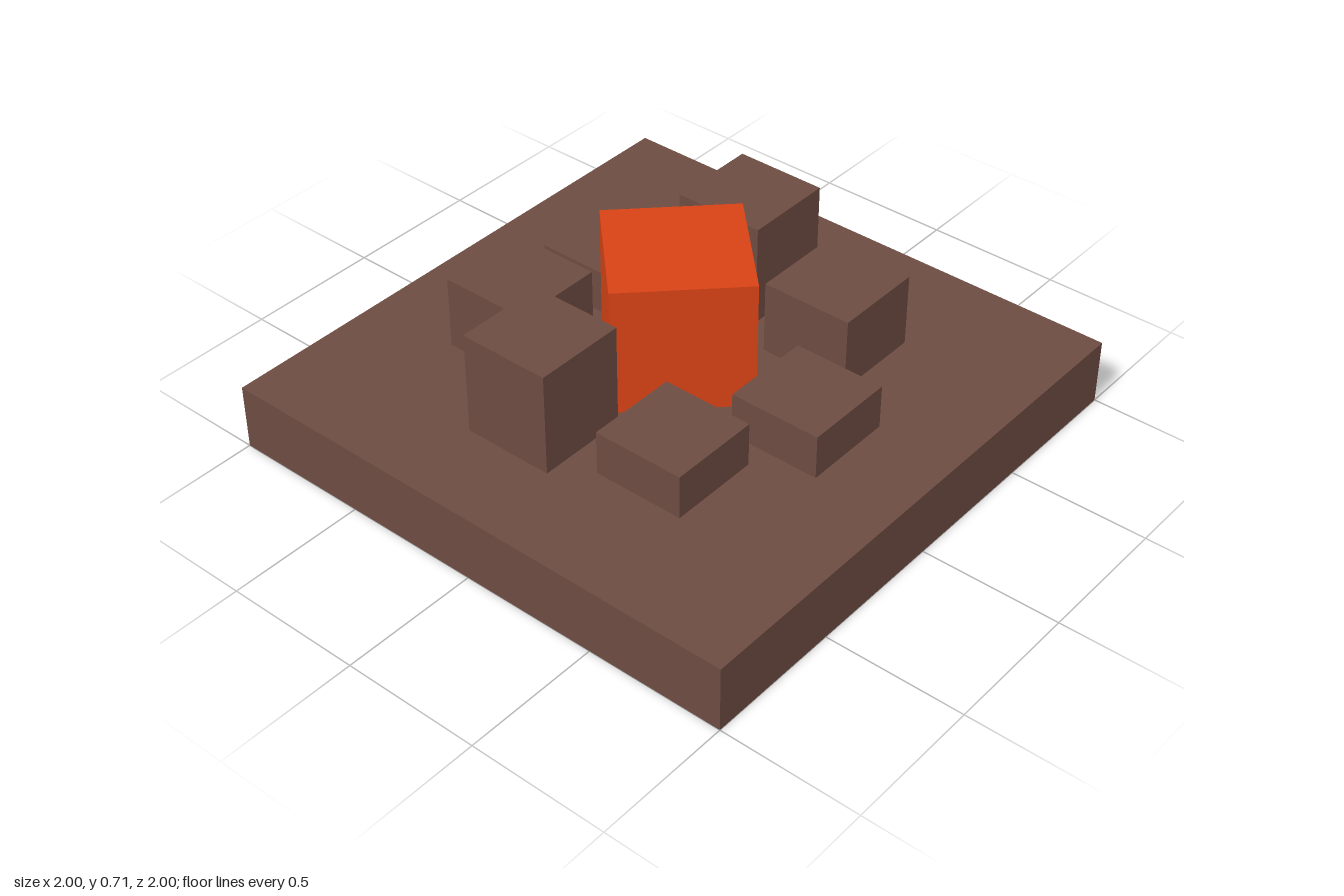
import * as THREE from 'three';

const BASE_TOP = 0.24;

export function createModel() {
  const model = new THREE.Group();
  const brown = new THREE.MeshStandardMaterial({ color: 0x6d4c41, flatShading: true });
  const orange = new THREE.MeshStandardMaterial({ color: 0xd84315, flatShading: true });

  // Adds a box standing on height y
  function addBlock(name, material, width, height, x, y, z) {
    const mesh = new THREE.Mesh(new THREE.BoxGeometry(width, height, width), material);
    mesh.name = name;
    mesh.position.set(x, y + height / 2, z);
    model.add(mesh);
    return mesh;
  }

  // Square slab
  addBlock('base', brown, 2, BASE_TOP, 0, 0, 0);

  // Central block, turned 45 degrees
  const core = addBlock('centreBlock', orange, 0.33 * Math.SQRT2, 0.467, 0, BASE_TOP, 0);
  core.rotation.y = Math.PI / 4;

  // Ring of seven axis-aligned blocks cycling through three heights
  const count = 7;
  const radius = 0.53;
  for (let i = 0; i < count; i++) {
    const angle = (i / count) * Math.PI * 2;
    const height = 0.16 + (i % 3) * 0.106;
    addBlock(`ringBlock${i + 1}`, brown, 0.333, height,
      Math.cos(angle) * radius, BASE_TOP, -Math.sin(angle) * radius);
  }

  return model;
}
